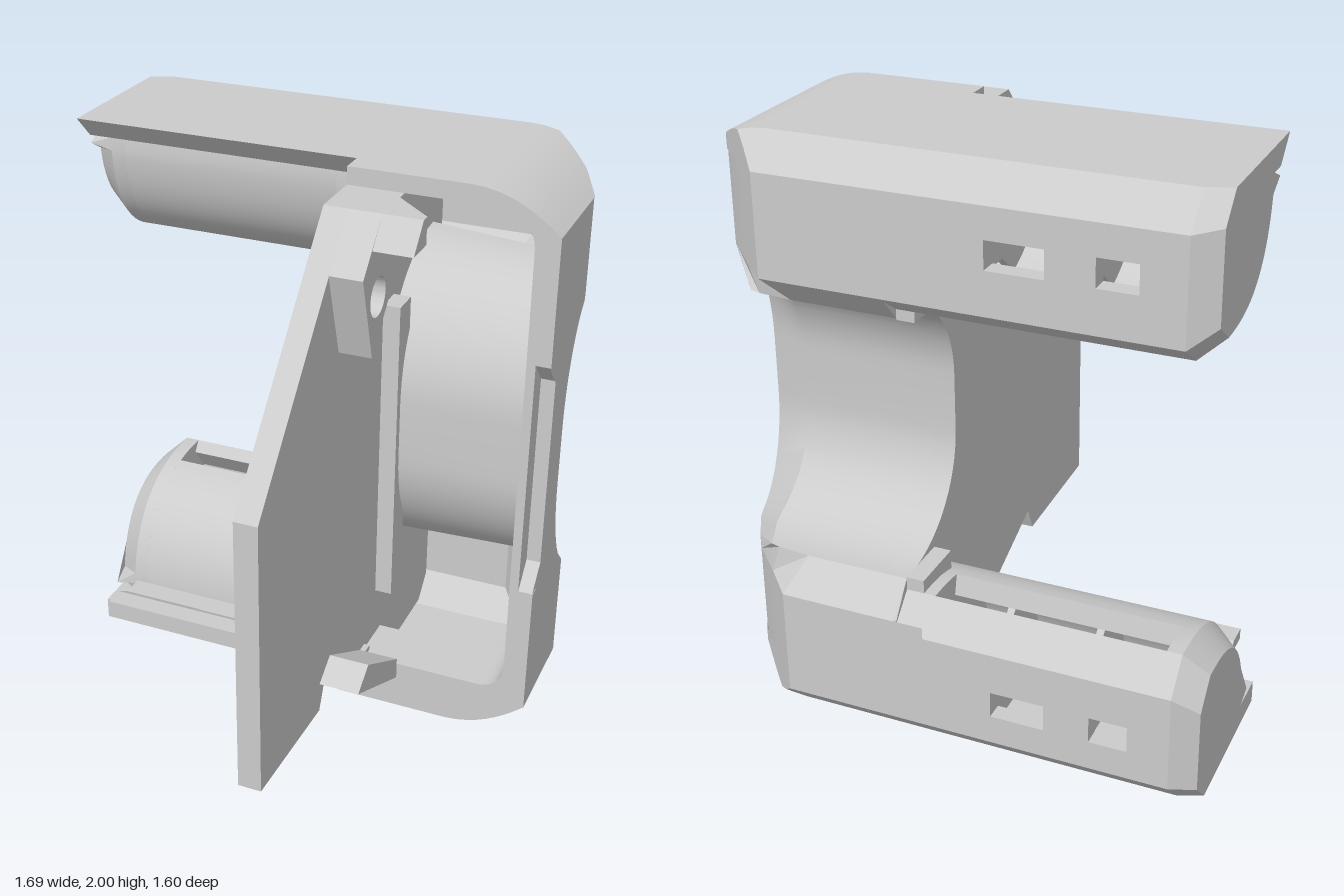
import * as THREE from 'three';
import { toCreasedNormals } from 'three/addons/utils/BufferGeometryUtils.js';

const mat = new THREE.MeshStandardMaterial({ color: 0xcccccc, side: THREE.DoubleSide });
const lerp = THREE.MathUtils.lerp;

function addMesh(group, name, geo) {
  const mesh = new THREE.Mesh(toCreasedNormals(geo, 0.45), mat);
  mesh.name = name;
  group.add(mesh);
}

// Extrude a [z, y] outline along x, with optional round holes [z, y, r]
function alongX(pts, x0, x1, holes = []) {
  const shape = new THREE.Shape(pts.map(([z, y]) => new THREE.Vector2(-z, y)));
  for (const [z, y, r] of holes) shape.holes.push(new THREE.Path().absarc(-z, y, r, 0, Math.PI * 2, true));
  const geo = new THREE.ExtrudeGeometry(shape, { depth: x1 - x0, bevelEnabled: false, curveSegments: 24 });
  return geo.rotateY(Math.PI / 2).translate(x0, 0, 0);
}

function box(x0, x1, y0, y1, z0, z1) {
  return new THREE.BoxGeometry(x1 - x0, y1 - y0, z1 - z0)
    .translate((x0 + x1) / 2, (y0 + y1) / 2, (z0 + z1) / 2);
}

// Surface through rows of [x, y, z] points
function loft(rows) {
  const n = rows[0].length, index = [];
  for (let i = 0; i < rows.length - 1; i++)
    for (let j = 0; j < n - 1; j++) {
      const a = i * n + j, b = a + n;
      index.push(a, b, a + 1, a + 1, b, b + 1);
    }
  const geo = new THREE.BufferGeometry();
  geo.setAttribute('position', new THREE.Float32BufferAttribute(rows.flat(2), 3));
  geo.setIndex(index);
  geo.computeVertexNormals();
  return geo;
}

function bezier(a, b, c, d, t0 = 0) {
  const v = (p) => new THREE.Vector2(...p);
  const curve = new THREE.CubicBezierCurve(v(a), v(b), v(c), v(d));
  return Array.from({ length: 19 }, (_, i) => curve.getPoint(lerp(t0, 1, i / 18)).toArray());
}

// Half of the round cut-out: bore edge, outer rim edge and front of the drum, as [z, y]
function cutout(c) {
  const bore = [[-0.32, 1]], rim = [[-0.28, 1]], drum = [[-0.23, 1]];
  for (let i = 0; i <= 16; i++) {
    const a = (i / 16) * Math.PI / 2, C = Math.cos(a), S = Math.sin(a);
    bore.push([-0.68 + 0.36 * C, c + 0.1 + 0.35 * S]);
    rim.push([-0.53 + 0.25 * C, c + 0.1 + 0.43 * S]);
    drum.push([-0.68 + 0.45 * C, c + 0.1 + 0.46 * S]);
  }
  bore.push([-0.69, c + 0.45], [-0.7, c + 0.45], [-0.8, c + 0.55]);
  rim.push([-0.58, c + 0.55], [-0.7, c + 0.54], [-0.8, c + 0.55]);
  return { bore, rim, drum };
}

// Bevelled limits of the housing at depth z, and the rounded corner curve
const sideX = (z) => z > -0.45 ? 0.84 : z > -0.56 ? lerp(0.84, 0.78, (-0.45 - z) / 0.11) : lerp(0.78, 0.55, (-0.56 - z) / 0.24);
const bevelZ = (x) => x > 0.78 ? lerp(-0.45, -0.56, (0.84 - x) / 0.06) : lerp(-0.56, -0.8, (0.78 - x) / 0.23);
const topY = (z) => z > -0.7 ? 2 : 2 - (-0.7 - z);
const corner = [0.55, 0.6, 0.646, 0.68, 0.71, 0.74, 0.76, 0.78, 0.8, 0.82, 0.84]
  .map((x) => [x, 2 - 0.13 * ((x - 0.55) / 0.29) ** 2]);

// Half of the housing and one arm; the lower one is flipped
function buildHalf(upper) {
  const half = new THREE.Group();
  half.name = upper ? 'upperHalf' : 'lowerHalf';
  const fy = (y) => upper ? y : 2 - y;
  const flip = (pts) => pts.map(([z, y]) => [z, fy(y)]);
  const c = upper ? 1.02 : 0.98;
  const { bore, rim, drum } = cutout(c);

  // Top and rounded corner, cut by the bevel and the back chamfer
  const topZ = [-0.06, ...corner.map(([x]) => bevelZ(x)).reverse()];
  addMesh(half, 'housingTop', loft(topZ.map((z) => [[0.15, 2], ...corner, [0.84, 1.87]]
    .map(([x, y]) => [Math.min(x, sideX(z) + 1e-6), fy(Math.min(y, topY(z))), z]))));

  // Side wall with a notch in the front edge, closed at the back
  const side = (z, end) => [[sideX(z), fy(1.87), z], [sideX(z), fy(end), z]];
  addMesh(half, 'housingSide', loft([side(-0.06, 1.43), side(-0.14, 1.35), side(-0.14, 1), ...rim.map(([z, y]) => side(z, y))]));
  addMesh(half, 'housingBack', loft([1.9, c + 0.55].map((y) => [[0.05, fy(y), -0.8], [0.55, fy(y), -0.8]])));

  // Bevelled bore and the drum wall around it
  addMesh(half, 'bore', loft(rim.map(([z, y], i) => {
    const [bz, by] = bore[i], x = sideX(z);
    return [[x, fy(y), z], [x - 0.14, fy(by), bz], [0.15, fy(by), bz]];
  })));
  addMesh(half, 'drumWall', loft(drum.map(([z, y], i) =>
    [[Math.min(0.76, sideX(z) - 0.05), fy(y), z], [0.23, fy(y + 0.03 * i / 17), z]])));

  // Arm cross-sections; the upper front edge slants, the lower one is upright
  const b = upper ? 1.5 : 1.47;
  const back = [[upper ? -0.22 : -0.14, 1.92], [-0.14, 2], [-0.7, 2], [-0.8, 1.9]];
  const outer = (t0) => bezier([-0.66, b], [-0.38, b], [-0.22, 1.64], [-0.22, 1.92], t0);
  const full = flip([...back, [-0.8, 1.57], [-0.7, b], ...outer(0).slice(0, -1), [-0.225, 1.92]]);
  const shell = flip([...back, [-0.74, 1.87], [-0.67, 1.93],
    ...bezier([-0.66, b + 0.07], [-0.42, b + 0.07], [-0.28, 1.7], [-0.28, 1.93], 0.15).reverse(),
    ...outer(0.15).slice(0, -1), [-0.225, 1.92]]);

  // Tip with a chamfer running around it below the flange
  const tip = alongX(full, -0.85, -0.77), p = tip.attributes.position;
  for (let i = 0; i < p.count; i++) {
    const y = fy(p.getY(i)), z = p.getZ(i);
    if (p.getX(i) > -0.8) continue;
    if (y < 1.915) p.setY(i, fy(2 + (y - 2) * 0.86));
    if (z < -0.224) p.setZ(i, -0.5 + (z + 0.5) * (z > -0.5 ? 0.78 : 0.84));
  }
  addMesh(half, 'armTip', tip);
  addMesh(half, 'armEnd', alongX(full, -0.77, -0.72));
  addMesh(half, 'armRoot', alongX(full, 0.05, 0.15));
  addMesh(half, 'armShell', alongX(shell, -0.72, 0.05));
  addMesh(half, 'armLip', alongX(flip([[-0.8, 1.57], [-0.7, b], [-0.67, b + 0.04], [-0.74, 1.6]]), -0.72, 0.05));

  // Back wall with two slots
  const rect = (S, x0, x1, y0, y1) => new S([[x0, y0], [x1, y0], [x1, y1], [x0, y1]].map(([x, y]) => new THREE.Vector2(x, fy(y))));
  const wall = rect(THREE.Shape, -0.72, 0.05, 1.57, 1.9);
  wall.holes.push(rect(THREE.Path, -0.36, -0.18, 1.71, 1.8), rect(THREE.Path, -0.635, -0.51, 1.71, 1.8));
  addMesh(half, 'armBackWall', new THREE.ExtrudeGeometry(wall, { depth: 0.06, bevelEnabled: false }).translate(0, 0, -0.8));

  // Ribs inside the arm, dished towards the opening
  for (const x of [-0.45, -0.14])
    addMesh(half, 'armRib', alongX(flip([[-0.75, 1.6], [-0.66, 1.66], [-0.58, 1.66], [-0.48, 1.57], [-0.38, 1.62],
      [-0.28, 1.78], [-0.27, 1.95], [-0.68, 1.95], [-0.75, 1.88]]), x, x + 0.025));
  const [l0, l1] = [fy(c + 0.445), fy(1.52)].sort();
  addMesh(half, 'armStop', box(0.09, 0.15, l0, l1, -0.7, -0.5));
  return half;
}

export function createModel() {
  const model = new THREE.Group();
  model.name = 'bracket';
  model.add(buildHalf(true), buildHalf(false));

  // Front frame with notched outer side
  const lowCorner = corner.map(([x, y]) => [x, 2 - y]).reverse();
  const frame = new THREE.Shape([[0.15, 2], ...corner, [0.84, 1.44], [0.79, 1.44], [0.79, 0.6], [0.84, 0.6], ...lowCorner, [0.15, 0]]
    .map((q) => new THREE.Vector2(...q)));
  const opening = new THREE.Path();
  opening.moveTo(0.23, 0.18).lineTo(0.66, 0.18).quadraticCurveTo(0.76, 0.18, 0.76, 0.29)
    .lineTo(0.76, 1.81).quadraticCurveTo(0.76, 1.94, 0.62, 1.94).lineTo(0.23, 1.94).lineTo(0.23, 0.18);
  frame.holes.push(opening);
  addMesh(model, 'frontFrame', new THREE.ExtrudeGeometry(frame, { depth: 0.2, bevelEnabled: false }).translate(0, 0, -0.26));
  addMesh(model, 'frameNotch', alongX([[-0.25, 0.6], [-0.062, 0.6], [-0.14, 0.68], [-0.14, 1.36], [-0.062, 1.44], [-0.25, 1.44]], 0.785, 0.838));

  // Upright plate, running back around the cut-out
  const up = cutout(1.02).bore.slice(0, -1), low = cutout(0.98).bore.slice(0, -1).map(([z, y]) => [z, 2 - y]);
  const hole = [0.15, 1.68, 0.065];
  addMesh(model, 'uprightPlate', alongX([[0.8, 0.22], [0.8, 1.2], [0.13, 1.94], [-0.06, 1.94], [-0.07, 1.98],
    [-0.7, 1.98], [-0.78, 1.9], [-0.78, 1.56], ...up.reverse(), ...low.slice(1), [-0.78, 0.46], [-0.78, 0.1], [-0.7, 0.02],
    [-0.07, 0.02], [-0.06, 0.14], [0, 0.17], [0.28, 0.29], [0.32, 0.2]], 0.15, 0.23, [hole]));
  addMesh(model, 'innerStrip', box(0.23, 0.29, 0.37, 1.49, -0.3, -0.2));

  // Boss with a hole, latch hook and lower lug
  addMesh(model, 'boss', alongX([[0.28, 1.78], [0.19, 1.49], [-0.06, 1.76], [-0.06, 1.94], [0.13, 1.94]], 0.23, 0.34, [hole]));
  const hook = box(0.34, 0.47, 1.85, 1.94, -0.02, 0.21), p = hook.attributes.position;
  for (let i = 0; i < p.count; i++) {
    if (p.getZ(i) > 0.1) { if (p.getY(i) > 1.9) p.setZ(i, 0.13); }
    else if (p.getX(i) > 0.4) p.setZ(i, 0.1);
  }
  addMesh(model, 'hookTip', hook);
  addMesh(model, 'lowerLug', alongX([[0.32, 0.31], [0.23, 0.37], [-0.06, 0.2], [-0.06, 0.12]], 0.23, 0.37));
  addMesh(model, 'lowerLugFoot', box(0.16, 0.25, 0.11, 0.2, -0.1, 0));

  // Stepped ledge along the front of the lower arm
  addMesh(model, 'ledge', alongX([[-0.25, 0.1], [-0.14, 0.1], [-0.1, 0.14], [0, 0.14], [0, 0.18], [-0.075, 0.18], [-0.14, 0.14], [-0.25, 0.14]], -0.76, 0.04));
  addMesh(model, 'ledgeTab', box(-0.45, 0.15, 0.095, 0.145, -0.2, -0.06));
  return model;
}
